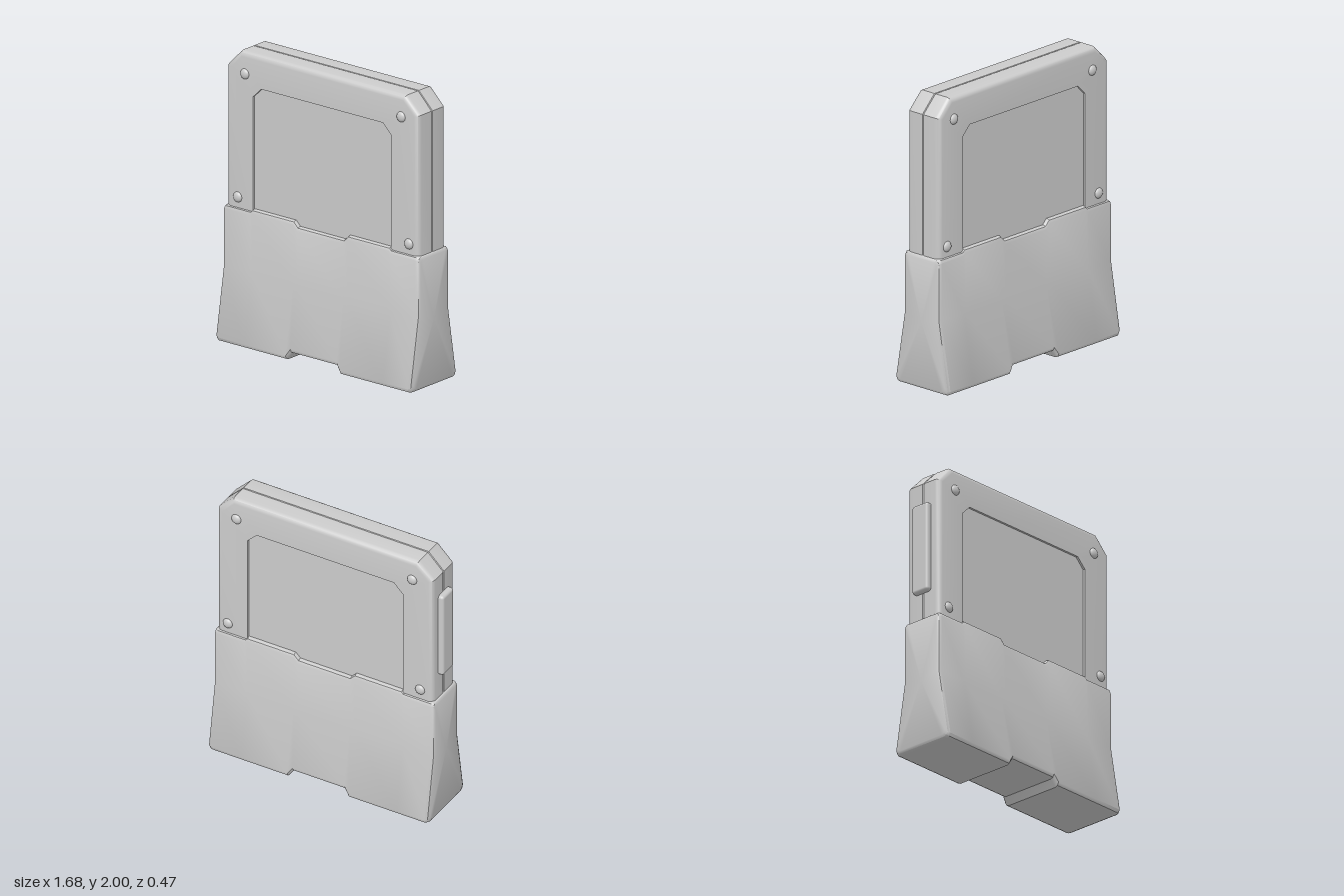
import * as THREE from 'three';
import { toCreasedNormals } from 'three/addons/utils/BufferGeometryUtils.js';
import { RoundedBoxGeometry } from 'three/addons/geometries/RoundedBoxGeometry.js';

const grey = new THREE.MeshStandardMaterial({ color: 0xcccccc });

// Skin a list of closed rings of [x, y, z] points, closing both ends with fans.
function loft(rings, crease) {
  const n = rings[0].length, pos = [];
  const tri = (...pts) => pts.forEach(p => pos.push(...p));
  for (let r = 0; r < rings.length - 1; r++) {
    const a = rings[r], b = rings[r + 1];
    for (let i = 0; i < n; i++) {
      const j = (i + 1) % n;
      tri(a[i], a[j], b[j]);
      tri(a[i], b[j], b[i]);
    }
  }
  const cap = (ring, flip) => {
    const c = [0, 1, 2].map(k => ring.reduce((s, p) => s + p[k], 0) / n);
    for (let i = 0; i < n; i++) {
      const p = ring[i], q = ring[(i + 1) % n];
      flip ? tri(c, q, p) : tri(c, p, q);
    }
  };
  cap(rings[0], true);
  cap(rings[rings.length - 1], false);
  const g = new THREE.BufferGeometry();
  g.setAttribute('position', new THREE.Float32BufferAttribute(pos, 3));
  return toCreasedNormals(g, crease);
}

function add(parent, name, geometry, x = 0, y = 0, z = 0) {
  const mesh = new THREE.Mesh(geometry, grey);
  mesh.name = name;
  mesh.position.set(x, y, z);
  parent.add(mesh);
  return mesh;
}

// Upright outline with two chamfered top corners, at depth z and shrunk by d.
function outline(x0, x1, top, chamfer, z, d = 0) {
  const l = x0 + d, r = x1 - d, t = top - d, c = chamfer - d * 0.586, b = 0.85;
  return [[l, b, z], [r, b, z], [r, t - c, z], [r - c, t, z], [l + c, t, z], [l, t - c, z]];
}

// Frame: rounded outer edge, groove at mid-depth, shallow window on both faces.
function frameGeometry() {
  const outer = (z, d) => outline(-0.805, 0.82, 2, 0.115, z, d);
  const hole = z => outline(-0.58, 0.59, 1.775, 0.068, z);
  const half = [outer(0, 0.008), outer(0.005, 0)];
  for (let i = 0; i <= 4; i++) {
    const a = (i / 4) * Math.PI / 2;
    half.push(outer(0.105 + 0.035 * Math.sin(a), 0.035 * (1 - Math.cos(a))));
  }
  half.push(hole(0.14), hole(0.125));
  const back = half.slice(1).reverse().map(ring => ring.map(([x, y, z]) => [x, y, -z]));
  return loft([...back, ...half], 0.6);
}

// Base cross-section at x: flared foot, straight upper wall, softened edges.
function baseSection(x, bottom, top, d = 0) {
  const b = bottom + d, t = top - d;
  const flare = y => 0.158 + (0.5 - y) * 0.167 - d;
  const side = [
    [flare(b + 0.03) - 0.028, b], [flare(b + 0.03) - 0.01, b + 0.008], [flare(b + 0.03), b + 0.03],
    [0.158 - d, 0.5], [0.158 - d, t - 0.025], [0.15 - d, t - 0.007], [0.134 - d, t],
  ];
  return [
    ...side.map(([z, y]) => [x, y, -z]),
    ...side.slice().reverse().map(([z, y]) => [x, y, z]),
  ];
}

function baseGeometry() {
  const stations = [
    // x, bottom, top, inset
    [-0.825, 0, 0.92, 0.024], [-0.817, 0, 0.92, 0.008], [-0.8, 0, 0.92],
    [-0.59, 0, 0.92], [-0.575, 0, 0.935],
    [-0.225, 0, 0.935], [-0.19, 0.05, 0.9],
    [0.2, 0.05, 0.9], [0.235, 0, 0.935],
    [0.585, 0, 0.935], [0.6, 0, 0.92],
    [0.812, 0, 0.92], [0.829, 0, 0.92, 0.008], [0.837, 0, 0.92, 0.024],
  ];
  return loft(stations.map(s => baseSection(...s)), 0.65);
}

export function createModel() {
  const model = new THREE.Group();
  model.name = 'cartridge';

  add(model, 'frame', frameGeometry());
  add(model, 'base', baseGeometry());

  // Domed rivets on both faces
  const dome = new THREE.SphereGeometry(0.036, 20, 12);
  const spots = [[-0.65, 1.85], [0.675, 1.85], [-0.71, 0.99], [0.74, 0.99]];
  for (const side of [1, -1]) {
    for (const [x, y] of spots) add(model, 'rivet', dome, x, y, side * 0.138).scale.z = 0.6;
  }

  // Long slider plate on the right-hand edge
  add(model, 'sideSlider', new RoundedBoxGeometry(0.07, 0.63, 0.14, 3, 0.02), -0.808, 1.415, 0);

  return model;
}
